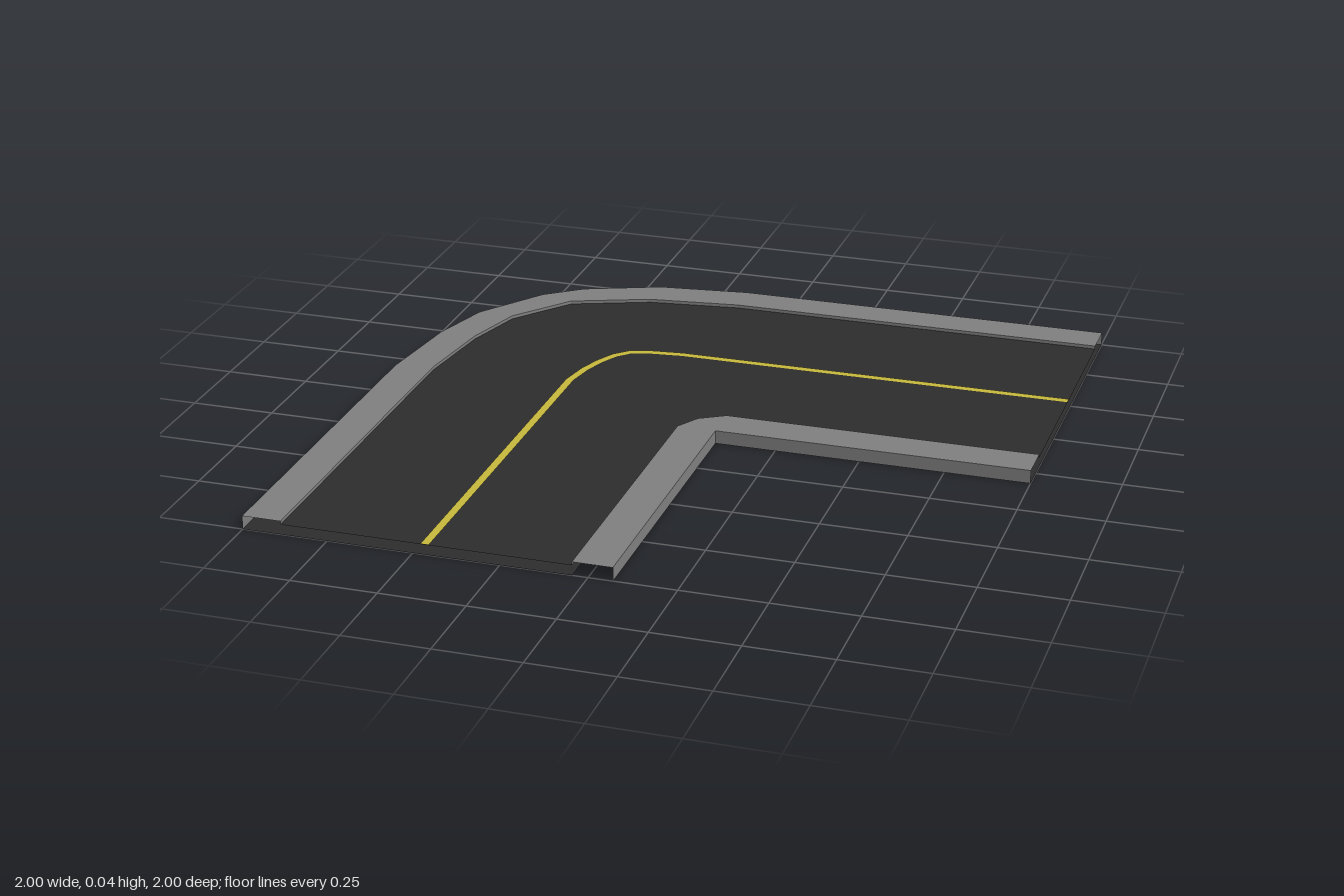
import * as THREE from 'three';

const TOP = 0.04, ROAD = 0.03, LINE = 0.032;

const material = (color) =>
  new THREE.MeshStandardMaterial({ color, flatShading: true, side: THREE.DoubleSide });
const kerbMat = material(0x808080);
const asphaltMat = material(0x2d2d2d);
const paintMat = material(0xc8b93c);

function addMesh(group, name, geometry, mat) {
  const mesh = new THREE.Mesh(geometry, mat);
  mesh.name = name;
  group.add(mesh);
}

// Flat sheet at height y from an outline of [x, z] points
function sheet(outline, y) {
  const shape = new THREE.Shape(outline.map(([x, z]) => new THREE.Vector2(x, -z)));
  return new THREE.ShapeGeometry(shape).rotateX(-Math.PI / 2).translate(0, y, 0);
}

// Strip of quads joining several rails, each { path, y }; paths have equal length
function loft(rails) {
  const n = rails[0].path.length;
  const quads = [];
  for (let r = 0; r < rails.length - 1; r++) {
    for (let i = 0; i < n - 1; i++) {
      const at = (rail, k) => [rail.path[k][0], rail.y, rail.path[k][1]];
      const a = at(rails[r], i), b = at(rails[r], i + 1);
      const c = at(rails[r + 1], i + 1), d = at(rails[r + 1], i);
      quads.push(...a, ...b, ...c, ...a, ...c, ...d);
    }
  }
  const geometry = new THREE.BufferGeometry();
  geometry.setAttribute('position', new THREE.Float32BufferAttribute(quads, 3));
  geometry.computeVertexNormals();
  return geometry;
}

// Sideways offset of a path, mitred at the bends
function offset(path, d) {
  const normal = (p, q) => new THREE.Vector2(-(q[1] - p[1]), q[0] - p[0]).normalize();
  return path.map((p, i) => {
    const n1 = normal(path[Math.max(i - 1, 0)], path[Math.max(i, 1)]);
    const last = path.length - 1;
    const n2 = normal(path[Math.min(i, last - 1)], path[Math.min(i + 1, last)]);
    const m = n1.clone().add(n2).normalize();
    const k = d / m.dot(n1);
    return [p[0] + m.x * k, p[1] + m.y * k];
  });
}

export function createModel() {
  const group = new THREE.Group();
  group.name = 'roadCorner';

  // Plan outlines, running from the right-hand end round to the front end
  const outerEdge = [[1, -1], [-0.15, -1], [-0.43, -0.965], [-0.66, -0.875], [-0.77, -0.79],
    [-0.91, -0.59], [-0.965, -0.4], [-1, -0.11], [-1, 1]];
  const outerRoad = [[1, -0.888], [-0.15, -0.888], [-0.43, -0.852], [-0.665, -0.763], [-0.665, -0.763],
    [-0.8, -0.59], [-0.853, -0.4], [-0.886, -0.13], [-0.886, 1]];
  const innerRoad = [[1, -0.045], [0.07, -0.045], [-0.005, 0], [-0.045, 0.07], [-0.045, 1]];
  const innerEdge = [[1, 0.07], [0.07, 0.07], [0.07, 0.07], [0.07, 0.07], [0.07, 1]];

  // Kerbs: low riser on the road side, flat top, skirt down to the ground
  const kerb = (road, edge) => loft([
    { path: road, y: ROAD }, { path: road, y: TOP }, { path: edge, y: TOP }, { path: edge, y: 0 },
  ]);
  addMesh(group, 'outerKerb', kerb(outerRoad, outerEdge), kerbMat);
  addMesh(group, 'innerKerb', kerb(innerRoad, innerEdge), kerbMat);

  // Road surface
  const roadOutline = [...outerRoad.filter((p, i) => i !== 4), ...innerRoad.slice().reverse()];
  addMesh(group, 'roadSurface', sheet(roadOutline, ROAD), asphaltMat);

  // Underside: two straight legs and the corner between them
  addMesh(group, 'rightLegBase', sheet([[0.07, -1], [1, -1], [1, 0.07], [0.07, 0.07]], 0), asphaltMat);
  addMesh(group, 'frontLegBase', sheet([[-1, 0.07], [-0.045, 0.07], [-0.045, 1], [-1, 1]], 0), asphaltMat);
  const cornerOutline = [[0.07, -0.888], ...outerRoad.slice(1, 8).filter((p, i) => i !== 3),
    [-0.886, 0.07], [-0.045, 0.07], [-0.005, 0], [0.07, -0.045]];
  addMesh(group, 'cornerBase', sheet(cornerOutline, 0), asphaltMat);

  // Painted centre line
  const centre = [[1, -0.466], [-0.2, -0.466], [-0.3, -0.455], [-0.36, -0.435], [-0.395, -0.4],
    [-0.425, -0.34], [-0.448, -0.27], [-0.464, -0.18], [-0.464, 1]];
  addMesh(group, 'centreLine', loft([
    { path: offset(centre, 0.012), y: LINE }, { path: offset(centre, -0.012), y: LINE },
  ]), paintMat);

  return group;
}
